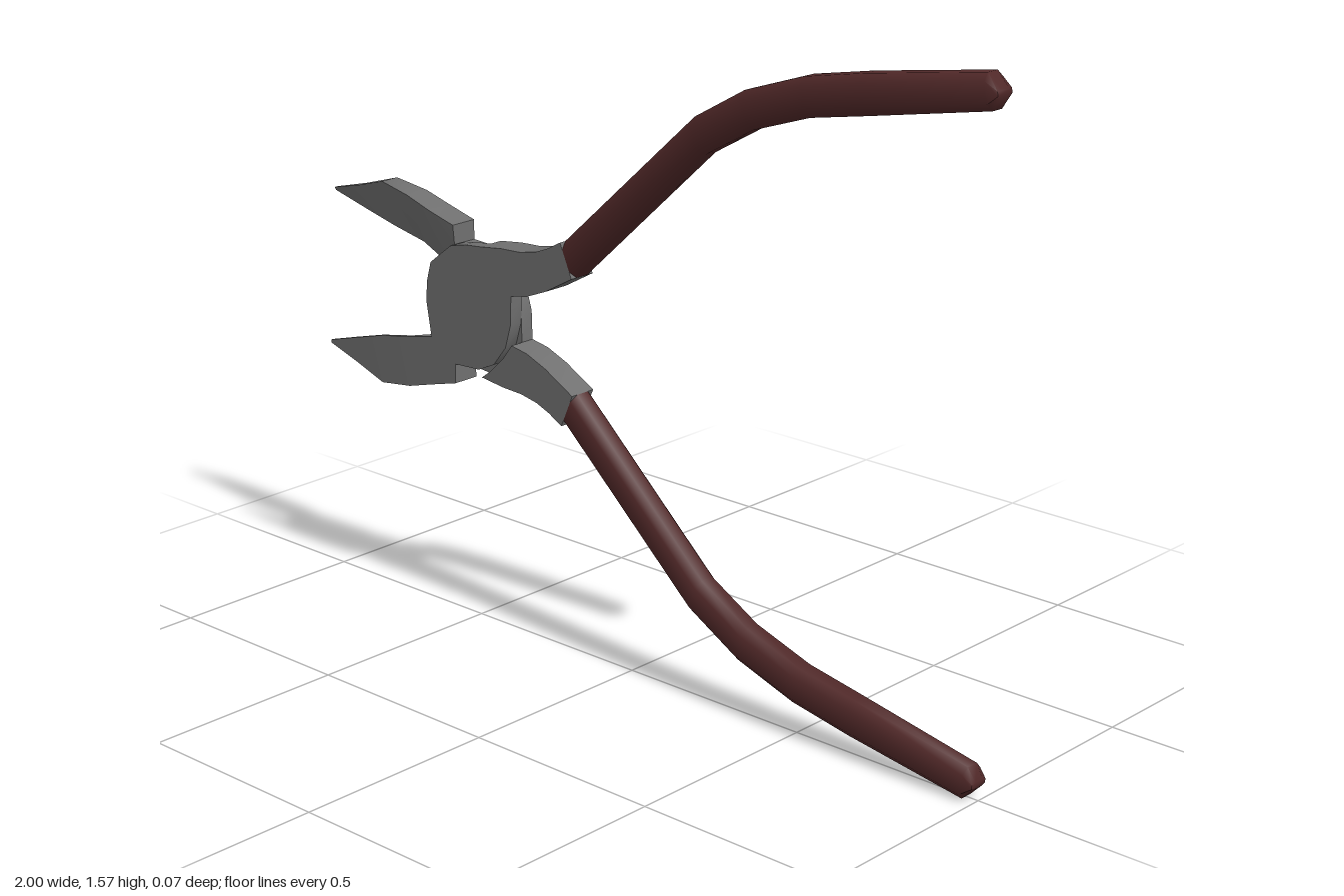
import * as THREE from 'three';
import { toCreasedNormals } from 'three/addons/utils/BufferGeometryUtils.js';

const PIVOT_Y = 0.79;
const HALF_DEPTH = 0.035;

// Closed skin through rings of [x, y, z] points, capped at both ends
function loft(rings, crease) {
  const n = rings[0].length;
  const index = [];
  for (let r = 0; r < rings.length - 1; r++) {
    for (let i = 0; i < n; i++) {
      const a = r * n + i;
      const b = r * n + (i + 1) % n;
      index.push(a, b, b + n, a, b + n, a + n);
    }
  }
  const last = (rings.length - 1) * n;
  for (let i = 1; i < n - 1; i++) {
    index.push(0, i + 1, i, last, last + i, last + i + 1);
  }
  const geometry = new THREE.BufferGeometry();
  geometry.setAttribute('position', new THREE.Float32BufferAttribute(rings.flat(2), 3));
  geometry.setIndex(index);
  return toCreasedNormals(geometry, crease);
}

// Flat slab cut from an outline, between two depths
function slab(points, zBack, zFront) {
  const shape = new THREE.Shape(points.map(([x, y]) => new THREE.Vector2(x, y)));
  const geometry = new THREE.ExtrudeGeometry(shape, { depth: zFront - zBack, bevelEnabled: false });
  geometry.translate(0, 0, zBack);
  return toCreasedNormals(geometry, 0.6);
}

// Sleeve: bent bar with chamfered edges; each row is upper x, y, lower x, y, depth
function sleeveGeometry() {
  const rows = [
    [-0.19, 0.22, -0.155, 0.14, 0.035],
    [0.2, 0.573, 0.23, 0.493, 0.035],
    [0.34, 0.653, 0.365, 0.57, 0.035],
    [0.5, 0.707, 0.52, 0.622, 0.035],
    [0.66, 0.738, 0.67, 0.65, 0.034],
    [0.968, 0.787, 0.982, 0.71, 0.031],
    [0.998, 0.757, 1.0, 0.74, 0.024]
  ];
  const section = [[0.6, -1], [1, -0.5], [1, 0.5], [0.6, 1], [-0.6, 1], [-1, 0.5], [-1, -0.5], [-0.6, -1]];
  const rings = rows.map(([ux, uy, lx, ly, d]) => section.map(([s, t]) => [
    (ux + lx) / 2 + s * (ux - lx) / 2,
    (uy + ly) / 2 + s * (uy - ly) / 2,
    t * d
  ]));
  return loft(rings, 1.0);
}

// Jaw: thick spine, thin cutting edge, one flat side and one sloped side
function jawGeometry() {
  // x, spine y, edge y, front z, spine back z, edge back z
  const rows = [
    [-1.0, -0.197, -0.189, 0.018, 0.008, 0.012],
    [-0.9, -0.222, -0.16, 0.026, -0.004, 0.018],
    [-0.8, -0.252, -0.132, 0.032, -0.018, 0.024],
    [-0.7, -0.238, -0.113, 0.035, -0.03, 0.022],
    [-0.62, -0.216, -0.096, 0.035, -0.035, 0.0],
    [-0.54, -0.195, -0.147, 0.035, -0.035, -0.03]
  ];
  const rings = rows.map(([x, spine, edge, front, back, edgeBack]) => [
    [x, edge, edgeBack], [x, edge, front], [x, spine, front], [x, spine, back]
  ]);
  return loft(rings, 0.5);
}

export function createModel() {
  const steel = new THREE.MeshStandardMaterial({ color: 0x707070 });
  steel.name = 'steel';
  const grip = new THREE.MeshStandardMaterial({ color: 0x502828 });
  grip.name = 'dark red grip';

  // Half-depth pivot disc that overlaps the opposite half
  const disc = slab([
    [-0.45, 0.16], [-0.5, 0.155], [-0.55, 0.143], [-0.618, 0.09], [-0.632, 0.04], [-0.635, -0.01],
    [-0.62, -0.096], [-0.54, -0.147], [-0.46, -0.143], [-0.41, -0.12], [-0.37, -0.07],
    [-0.352, -0.01], [-0.35, 0.06], [-0.38, 0.1], [-0.42, 0.138]
  ], 0, HALF_DEPTH);

  // Full-depth neck, hollowed to clear the opposite disc
  const neck = slab([
    [-0.155, 0.14], [-0.19, 0.22], [-0.23, 0.198], [-0.27, 0.182], [-0.32, 0.172], [-0.38, 0.169],
    [-0.45, 0.16], [-0.42, 0.138], [-0.38, 0.1], [-0.35, 0.06], [-0.3, 0.069], [-0.24, 0.093]
  ], -HALF_DEPTH, HALF_DEPTH);

  const parts = [
    ['handleSleeve', sleeveGeometry(), grip],
    ['neck', neck, steel],
    ['pivotDisc', disc, steel],
    ['jaw', jawGeometry(), steel]
  ];

  // The two halves are the same piece, turned over about the long axis
  const model = new THREE.Group();
  model.name = 'diagonalCutters';
  for (const [name, turn] of [['frontHalf', 0], ['backHalf', Math.PI]]) {
    const half = new THREE.Group();
    half.name = name;
    for (const [partName, geometry, material] of parts) {
      const mesh = new THREE.Mesh(geometry, material);
      mesh.name = partName;
      half.add(mesh);
    }
    half.position.y = PIVOT_Y;
    half.rotation.x = turn;
    model.add(half);
  }
  return model;
}
